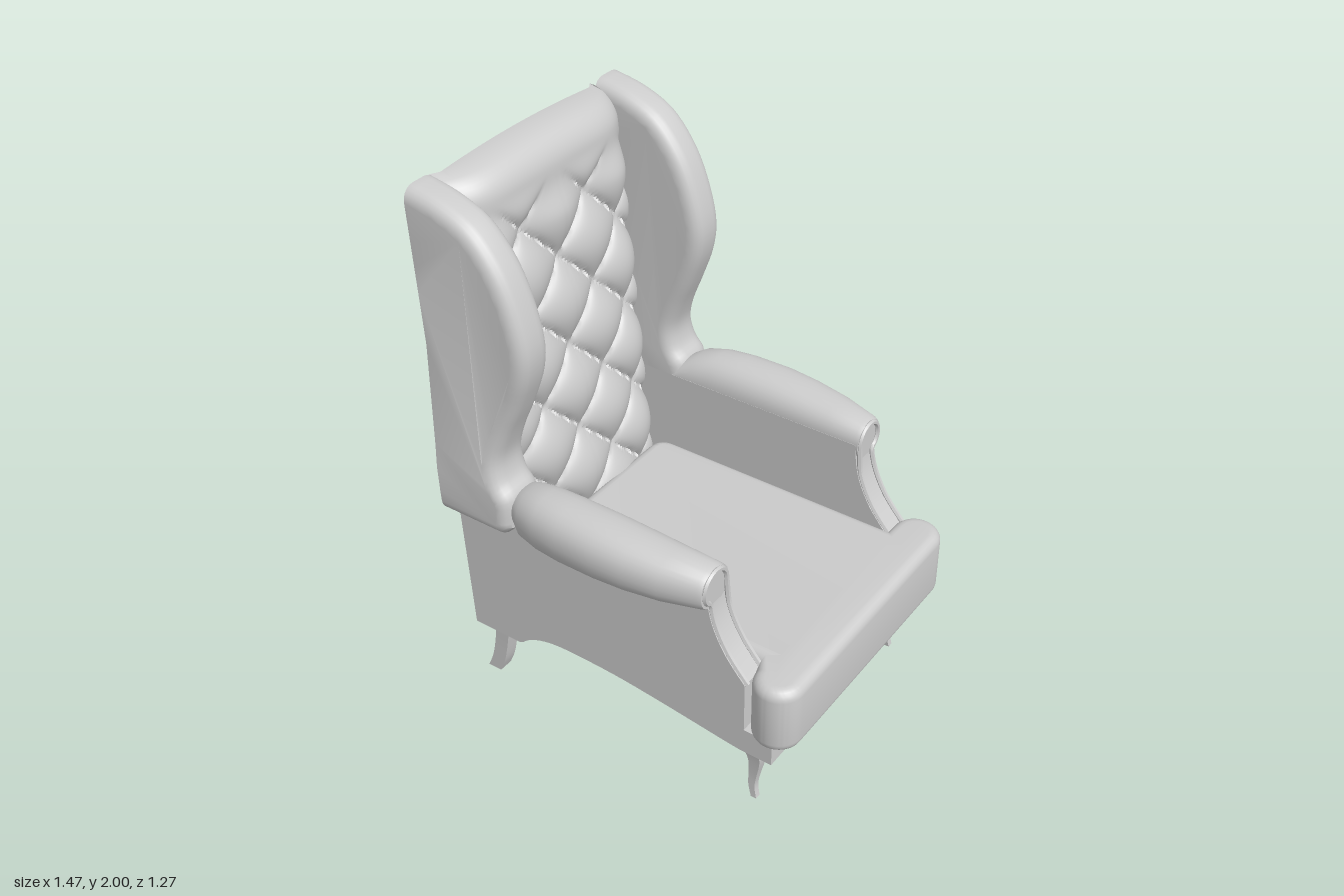
import * as THREE from 'three';
import { toCreasedNormals } from 'three/addons/utils/BufferGeometryUtils.js';

const material = new THREE.MeshStandardMaterial({ color: 0xcccccc });
const V = (x, y, z) => new THREE.Vector3(x, y, z);
const clamp = THREE.MathUtils.clamp;
// the raked plane of the chair's back
const backX = (y) => -0.625 - 0.0571 * (y - 0.25);

// moves every vertex by a rule
function bend(geo, rule) {
  const p = geo.attributes.position, v = V(0, 0, 0);
  for (let i = 0; i < p.count; i++) {
    rule(v.fromBufferAttribute(p, i));
    p.setXYZ(i, v.x, v.y, v.z);
  }
  return geo;
}

// mirrors across z = 0 and keeps the faces turned outwards
function mirrorZ(geo) {
  const g = geo.index ? geo.toNonIndexed() : geo.clone();
  const p = g.attributes.position, a = V(0, 0, 0), b = V(0, 0, 0);
  g.scale(1, 1, -1);
  for (let i = 0; i < p.count; i += 3) {
    a.fromBufferAttribute(p, i + 1);
    b.fromBufferAttribute(p, i + 2);
    p.setXYZ(i + 1, b.x, b.y, b.z);
    p.setXYZ(i + 2, a.x, a.y, a.z);
  }
  return g;
}

// skin over a row of closed rings, with end caps
function loft(rings) {
  const n = rings[0].length, pos = [], idx = [];
  rings.forEach((r) => r.forEach((q) => pos.push(q.x, q.y, q.z)));
  for (let i = 0; i < rings.length - 1; i++) {
    for (let j = 0; j < n; j++) {
      const a = i * n + j, b = i * n + (j + 1) % n;
      idx.push(a, b, a + n, b, b + n, a + n);
    }
  }
  const last = (rings.length - 1) * n;
  for (let j = 1; j < n - 1; j++) {
    idx.push(0, j + 1, j, last, last + j, last + j + 1);
  }
  // turn the skin outwards if the enclosed volume is negative
  const P = (k) => V(pos[3 * k], pos[3 * k + 1], pos[3 * k + 2]);
  let volume = 0;
  for (let i = 0; i < idx.length; i += 3) volume += P(idx[i]).dot(P(idx[i + 1]).cross(P(idx[i + 2])));
  if (volume < 0) idx.reverse();
  const g = new THREE.BufferGeometry();
  g.setAttribute('position', new THREE.Float32BufferAttribute(pos, 3));
  g.setIndex(idx);
  return g;
}

const shapeOf = (pts) => new THREE.Shape(pts.map(([x, y]) => new THREE.Vector2(x, y)));
const smooth = (pts, n) => new THREE.SplineCurve(pts.map(([x, y]) => new THREE.Vector2(x, y)))
  .getPoints(n).map((p) => [p.x, p.y]);

export function createModel() {
  const chair = new THREE.Group();
  const add = (name, geo, crease = 0.6) => {
    geo.deleteAttribute('uv');
    geo.deleteAttribute('normal');
    const mesh = new THREE.Mesh(toCreasedNormals(geo, crease), material);
    mesh.name = name;
    chair.add(mesh);
  };
  const pair = (name, geo, crease) => {
    add('left' + name, mirrorZ(geo), crease);
    add('right' + name, geo, crease);
  };

  // base frame with an arched lower edge
  const arch = [[-0.625, 0.25], [-0.42, 0.25], ...smooth([[-0.41, 0.255], [-0.37, 0.287], [-0.3, 0.314],
    [-0.2, 0.325], [0, 0.32], [0.2, 0.3], [0.45, 0.268]], 24), [0.52, 0.26]];
  const base = new THREE.ExtrudeGeometry(shapeOf([...arch, [0.65, 0.26], [0.65, 0.36], [backX(0.36), 0.36]]),
    { depth: 1.05, bevelEnabled: false });
  add('baseFrame', base.translate(0, 0, -0.525));

  // side panels, sweeping down at the front of the arms
  const armFront = smooth([[0.54, 0.56], [0.5, 0.605], [0.455, 0.665], [0.415, 0.745], [0.395, 0.82], [0.388, 0.9]], 14);
  const side = new THREE.ExtrudeGeometry(shapeOf([...arch, [0.54, 0.26], ...armFront, [backX(0.9), 0.9]]),
    { depth: 0.115, bevelEnabled: false });
  pair('SidePanel', side.translate(0, 0, 0.41));

  // rolled armrests: x, bottom, top, outer z
  const rollSections = [[-0.42, 0.85, 0.93, 0.53], [-0.375, 0.825, 0.955, 0.57], [-0.33, 0.79, 0.98, 0.6],
    [-0.25, 0.78, 0.997, 0.62], [-0.15, 0.78, 1.002, 0.632], [0, 0.785, 1.0, 0.637], [0.12, 0.79, 0.992, 0.63],
    [0.25, 0.798, 0.98, 0.61], [0.38, 0.81, 0.965, 0.572], [0.395, 0.815, 0.958, 0.565]];
  const roll = loft(rollSections.map(([x, y0, y1, z1]) => Array.from({ length: 28 }, (_, i) => {
    const a = (i / 28) * Math.PI * 2, c = Math.cos(a), s = Math.sin(a);
    const k = 0.88; // a slightly squared ellipse
    return V(x, (y0 + y1) / 2 + Math.sign(s) * Math.abs(s) ** k * (y1 - y0) / 2,
      (0.41 + z1) / 2 + Math.sign(c) * Math.abs(c) ** k * (z1 - 0.41) / 2);
  })));
  pair('ArmRoll', roll, 0.8);

  // piping up the arm front and around the scroll
  const trim = [];
  armFront.slice(0, 11).forEach(([x, y]) => trim.push(V(x + 0.004, y, 0.422)));
  for (let i = 0; i <= 12; i++) {
    const a = Math.PI * (1 - (i / 12) * 1.35);
    trim.push(V(0.397, 0.89 + 0.062 * Math.sin(a), 0.487 + 0.062 * Math.cos(a)));
  }
  armFront.slice(0, 11).reverse().forEach(([x, y]) => trim.push(V(x + 0.004, y, 0.513)));
  pair('ArmPiping', new THREE.TubeGeometry(new THREE.CatmullRomCurve3(trim), 70, 0.01, 6), 1);

  // wings: rounded at the front, flat at the back, flaring over the arms
  const wingEdge = smooth([[-0.36, 0.83], [-0.365, 0.94], [-0.405, 1.0], [-0.418, 1.08], [-0.39, 1.18], [-0.34, 1.3],
    [-0.296, 1.43], [-0.29, 1.55], [-0.33, 1.7], [-0.39, 1.82], [-0.48, 1.92], [-0.6, 1.975], [-0.72, 2.0]], 48);
  const wingBack = Array.from({ length: 14 }, (_, i) => {
    const y = 2 - (i / 13) * 1.21;
    return [backX(y) - 0.07, y];
  });
  const wing = new THREE.ExtrudeGeometry(shapeOf([[-0.4, 0.79], ...wingEdge, ...wingBack]),
    { depth: 0.05, bevelSize: 0.05, bevelThickness: 0.05, bevelOffset: -0.05, bevelSegments: 5 });
  wing.translate(0, 0, 0.46);
  bend(wing, (v) => {
    v.x = Math.max(v.x, backX(v.y));
    const flare = 1 - THREE.MathUtils.smoothstep(v.y, 0.92, 1.35);
    v.z += 0.042 * flare * clamp((v.z - 0.41) / 0.15, 0, 1);
  });
  pair('Wing', wing, 0.7);

  // backrest with diamond tufting on its front
  const back = new THREE.BoxGeometry(1, 1.7, 0.83, 1, 140, 84);
  bend(back.translate(0, 1.15, 0), (v) => {
    const y = v.y, z = v.z;
    if (v.x > 0) {
      const p = (z - 0.02) / 0.34, q = (y - 1.56) / 0.342;
      const puff = Math.sqrt(Math.abs(Math.sin(Math.PI * (p + q)) * Math.sin(Math.PI * (p - q))));
      const fade = 1 - THREE.MathUtils.smoothstep(y, 1.72, 1.88);
      const t = clamp(y - 1.89, 0, 0.11);
      const round = 0.11 - Math.sqrt(0.11 * 0.11 - t * t);
      v.x = -0.495 - 0.085 * (y - 0.6) + 0.06 * (puff * fade + 0.6 * (1 - fade)) - round
        - 0.06 * Math.abs(z / 0.415) ** 6;
    } else {
      v.x = backX(y);
    }
    v.y -= 0.02 * (z / 0.415) ** 2 * clamp((y - 1.8) / 0.2, 0, 1);
  });
  add('tuftedBackrest', back, 0.75);

  // T-shaped seat cushion, drawn in plan and extruded upwards
  const plan = new THREE.Shape();
  plan.moveTo(-0.47, -0.33);
  plan.quadraticCurveTo(-0.47, -0.41, -0.39, -0.41);
  plan.lineTo(0.54, -0.41);
  plan.lineTo(0.54, -0.46);
  plan.absarc(0.63, -0.455, 0.09, Math.PI, Math.PI * 2, false);
  plan.lineTo(0.72, 0.455);
  plan.absarc(0.63, 0.455, 0.09, 0, Math.PI, false);
  plan.lineTo(0.54, 0.41);
  plan.lineTo(-0.39, 0.41);
  plan.quadraticCurveTo(-0.47, 0.41, -0.47, 0.33);
  const seat = new THREE.ExtrudeGeometry(plan, { depth: 0.19, bevelSize: 0.04, bevelThickness: 0.04,
    bevelOffset: -0.04, bevelSegments: 5, curveSegments: 16 });
  add('seatCushion', seat.rotateX(-Math.PI / 2).translate(0, 0.37, 0), 0.7);

  // legs: square sections given as x, y, z, width
  const leg = (rows) => {
    const curve = new THREE.CatmullRomCurve3(rows.map((r) => V(r[0], r[1], r[2])));
    const width = new THREE.SplineCurve(rows.map((r, i) => new THREE.Vector2(i, r[3])));
    return loft(Array.from({ length: 15 }, (_, i) => {
      const c = curve.getPoint(i / 14), w = width.getPoint(i / 14).y / 2;
      return [[-1, -1], [1, -1], [1, 1], [-1, 1]].map(([a, b]) => V(c.x + a * w, c.y, c.z + b * w));
    }));
  };
  pair('FrontLeg', leg([[0.54, 0.29, 0.455, 0.075], [0.543, 0.24, 0.455, 0.064], [0.553, 0.18, 0.455, 0.046],
    [0.545, 0.1, 0.456, 0.032], [0.543, 0.05, 0.46, 0.025], [0.554, 0, 0.464, 0.022]]), 0.6);
  pair('BackLeg', leg([[-0.54, 0.28, 0.453, 0.062], [-0.543, 0.22, 0.453, 0.06], [-0.555, 0.14, 0.453, 0.057],
    [-0.573, 0.06, 0.453, 0.057], [-0.597, 0, 0.453, 0.057]]), 0.6);

  return chair;
}
